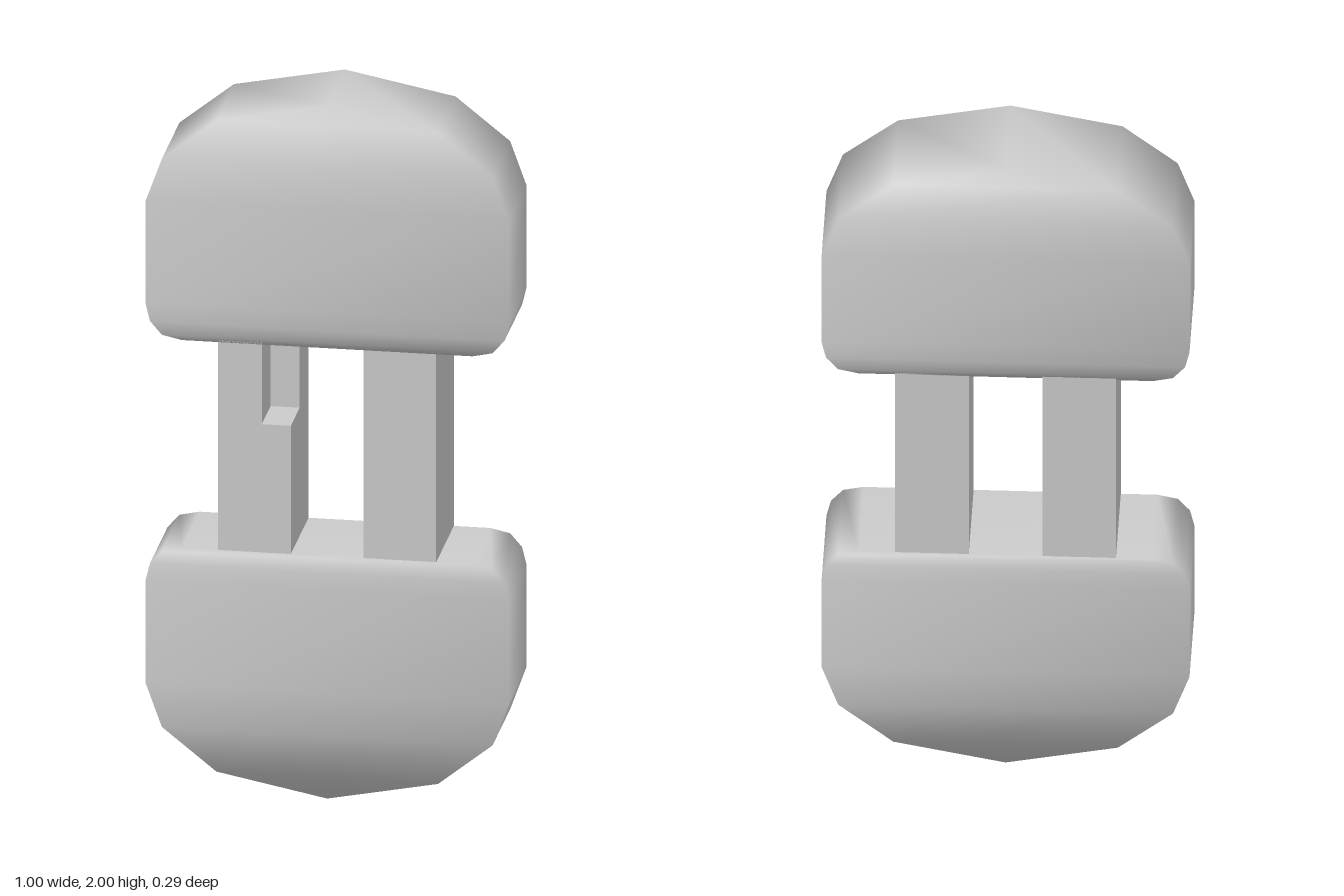
import * as THREE from 'three';
import { mergeVertices } from 'three/addons/utils/BufferGeometryUtils.js';

const DEPTH = 0.147; // half thickness of the whole body

// Rows of [half width, height] of the lower block, from its pointed base to its flat top
const BLOCK_ROWS = [
  [0, 0], [0.305, 0.06], [0.455, 0.18], [0.5, 0.305],
  [0.5, 0.6], [0.488, 0.65], [0.455, 0.688], [0.4, 0.7],
];

// Smooth-shaded slab lofted through rectangular rows
function blockGeometry() {
  const positions = [];
  const index = [];
  BLOCK_ROWS.forEach(([w, y], row) => {
    positions.push(-w, y, DEPTH, w, y, DEPTH, w, y, -DEPTH, -w, y, -DEPTH);
    if (row === 0) return;
    const low = (row - 1) * 4;
    for (let k = 0; k < 4; k++) {
      const a = low + k;
      const b = low + ((k + 1) % 4);
      index.push(a, b, b + 4, a, b + 4, a + 4);
    }
  });
  const top = (BLOCK_ROWS.length - 1) * 4;
  index.push(top, top + 1, top + 2, top, top + 2, top + 3);
  const geometry = new THREE.BufferGeometry();
  geometry.setAttribute('position', new THREE.Float32BufferAttribute(positions, 3));
  geometry.setIndex(index);
  const merged = mergeVertices(geometry);
  merged.computeVertexNormals();
  return merged;
}

export function createModel() {
  const group = new THREE.Group();
  const material = new THREE.MeshStandardMaterial({ color: 0xcccccc });

  function add(name, geometry, parent = group) {
    const mesh = new THREE.Mesh(geometry, material);
    mesh.name = name;
    parent.add(mesh);
    return mesh;
  }

  // Box given by its lower and upper limits
  function addBox(name, [x0, y0, z0], [x1, y1, z1], parent) {
    const mesh = add(name, new THREE.BoxGeometry(x1 - x0, y1 - y0, z1 - z0), parent);
    mesh.position.set((x0 + x1) / 2, (y0 + y1) / 2, (z0 + z1) / 2);
  }

  // Lower block and the same block turned over on top
  const block = blockGeometry();
  add('lowerBlock', block);
  const upper = add('upperBlock', block);
  upper.rotation.z = Math.PI;
  upper.position.y = 2;

  // Plain post
  addBox('leftPost', [0.1, 0.7, -DEPTH], [0.3, 1.305, DEPTH]);

  // Post with a pocket cut from its upper inner front corner
  const notched = new THREE.Group();
  notched.name = 'rightPost';
  group.add(notched);
  addBox('postBase', [-0.3, 0.7, -DEPTH], [-0.1, 1.07, DEPTH], notched);
  addBox('postOuterWall', [-0.3, 1.07, -DEPTH], [-0.18, 1.305, DEPTH], notched);
  addBox('postBackWall', [-0.18, 1.07, -DEPTH], [-0.1, 1.305, 0], notched);

  return group;
}
